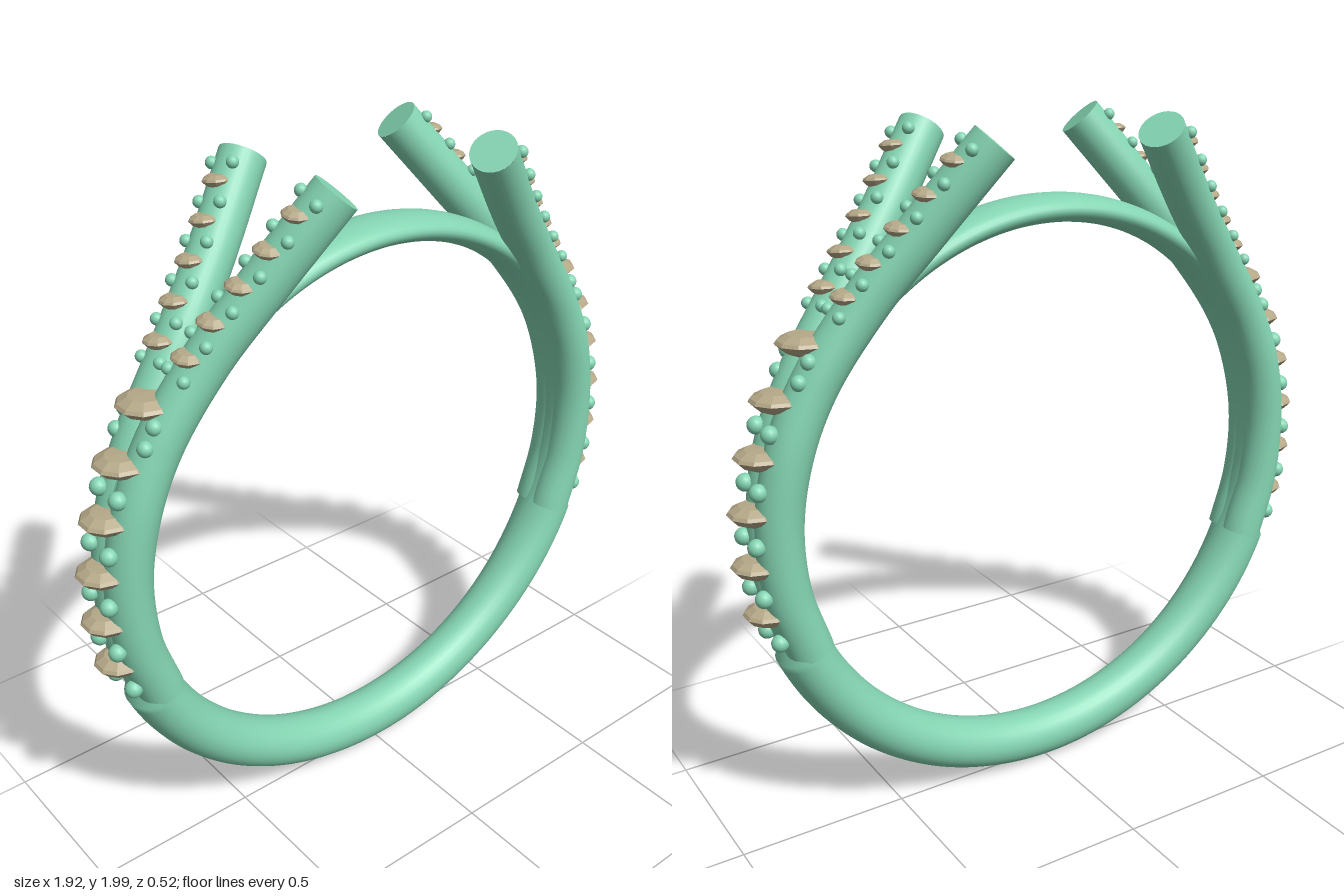
import * as THREE from 'three';
import { mergeVertices } from 'three/addons/utils/BufferGeometryUtils.js';

const CY = 0.93, INNER = 0.77, ARM_R = 0.065;
const metal = new THREE.MeshStandardMaterial({ color: 0x84d4b2 });
const stone = new THREE.MeshStandardMaterial({ color: 0xb5a888, flatShading: true });
const step = THREE.MathUtils.smoothstep;

function add(parent, name, geometry, material) {
  const mesh = new THREE.Mesh(geometry, material);
  mesh.name = name;
  parent.add(mesh);
  return mesh;
}

// Band: a torus whose oval section varies around the finger hole
function bandGeometry() {
  let g = new THREE.TorusGeometry(2, 1, 28, 240);
  const p = g.attributes.position;
  for (let i = 0; i < p.count; i++) {
    const x = p.getX(i), y = p.getY(i), d = Math.hypot(x, y);
    const h = y / d;
    const thick = 0.155 - 0.035 * step(h, -0.375, -0.35) - 0.04 * step(h, 0.35, 0.85);
    const wide = 0.08 + 0.01 * step(h, -1, -0.35) - 0.007 * step(h, 0.2, 0.8);
    const r = INNER + (thick / 2) * (d - 1);
    p.setXYZ(i, (x / d) * r, CY + h * r, p.getZ(i) * wide);
  }
  g.deleteAttribute('uv');
  g.deleteAttribute('normal');
  g = mergeVertices(g, 1e-5);
  g.computeVertexNormals();
  return g;
}

// Arm centre line: follows the band, then splits away to the tip
function armCurve(side) {
  const r = INNER + ARM_R, pts = [];
  for (const deg of [-23, -10, 4, 18, 31]) {
    const a = THREE.MathUtils.degToRad(deg);
    const z = 0.03 + 0.012 * step(deg, 0, 31);
    pts.push(new THREE.Vector3(r * Math.cos(a), CY + r * Math.sin(a), z * side));
  }
  for (const [x, y, z] of [[0.575, 1.56, 0.067], [0.43, 1.738, 0.118], [0.26, 1.955, 0.195]])
    pts.push(new THREE.Vector3(x, y, z * side));
  return new THREE.CatmullRomCurve3(pts);
}

// Frame on the outer face of a curve where the raised surface reaches height y
function frameAt(curve, y, lift) {
  let lo = 0, hi = 1, f;
  for (let i = 0; i < 24; i++) {
    const t = (lo + hi) / 2;
    const tan = curve.getTangent(t);
    const out = new THREE.Vector3(tan.y, -tan.x, 0).normalize();
    const pos = curve.getPoint(t).addScaledVector(out, lift);
    f = { pos, tan, out, across: new THREE.Vector3().crossVectors(tan, out) };
    if (pos.y < y) lo = t; else hi = t;
  }
  return f;
}

// Faceted stone: table, crown and pavilion, axis along +y
const gemGeometry = new THREE.LatheGeometry([
  [0, -0.7], [0.75, -0.3], [1, 0], [0.92, 0.13], [0.58, 0.33], [0, 0.36],
].map(([x, y]) => new THREE.Vector2(x, y)), 10);
const beadGeometry = new THREE.SphereGeometry(1, 14, 10);

function addGem(parent, curve, y, r, lift) {
  const f = frameAt(curve, y, lift);
  const gem = add(parent, 'stone', gemGeometry, stone);
  gem.position.copy(f.pos);
  gem.quaternion.setFromRotationMatrix(new THREE.Matrix4().makeBasis(f.tan, f.out, f.across.negate()));
  gem.scale.set(r, Math.min(r, 0.068), r);
}

function addBeads(parent, curve, y, spread, r, lift) {
  const f = frameAt(curve, y, lift);
  for (const s of [-1, 1]) {
    const bead = add(parent, 'bead', beadGeometry, metal);
    bead.position.copy(f.pos).addScaledVector(f.across, s * spread);
    bead.scale.setScalar(r);
  }
}

function addArm(parent, side) {
  const arm = new THREE.Group();
  arm.name = side > 0 ? 'frontArm' : 'backArm';
  parent.add(arm);
  const curve = armCurve(side);
  add(arm, 'armTube', new THREE.TubeGeometry(curve, 90, ARM_R, 28), metal);
  // Flat ends
  for (const t of [0, 1]) {
    const cap = add(arm, 'armEnd', new THREE.CircleGeometry(ARM_R, 28), metal);
    cap.position.copy(curve.getPoint(t));
    const dir = curve.getTangent(t).multiplyScalar(t ? 1 : -1);
    cap.quaternion.setFromUnitVectors(new THREE.Vector3(0, 0, 1), dir);
  }
  // Small stones and beads along the split part
  for (let i = 0; i < 5; i++) addGem(arm, curve, 1.585 + i * 0.083, 0.046 - i * 0.001, 0.054);
  for (let i = 0; i < 6; i++) addBeads(arm, curve, 1.543 + i * 0.082, 0.04, 0.017, 0.057);
}

function createShoulder(name) {
  const shoulder = new THREE.Group();
  shoulder.name = name;
  for (const side of [1, -1]) addArm(shoulder, side);
  // Large stones and beads on the centre line
  const mid = new THREE.CatmullRomCurve3(armCurve(1).points.map((p) => p.clone().setZ(0)));
  [0.735, 0.88, 1.03, 1.18, 1.325, 1.465].forEach((y, i) =>
    addGem(shoulder, mid, y, 0.07 + i * 0.0022, 0.056));
  [0.66, 0.80, 0.95, 1.10, 1.25, 1.38, 1.43].forEach((y, i) =>
    addBeads(shoulder, mid, y, i < 5 ? 0.047 : 0.07, i < 5 ? 0.025 : 0.022, i < 5 ? 0.07 : 0.056));
  return shoulder;
}

export function createModel() {
  const ring = new THREE.Group();
  ring.name = 'ring';
  add(ring, 'band', bandGeometry(), metal);
  const left = createShoulder('leftShoulder');
  const right = createShoulder('rightShoulder');
  right.rotation.y = Math.PI;
  ring.add(left, right);
  return ring;
}
